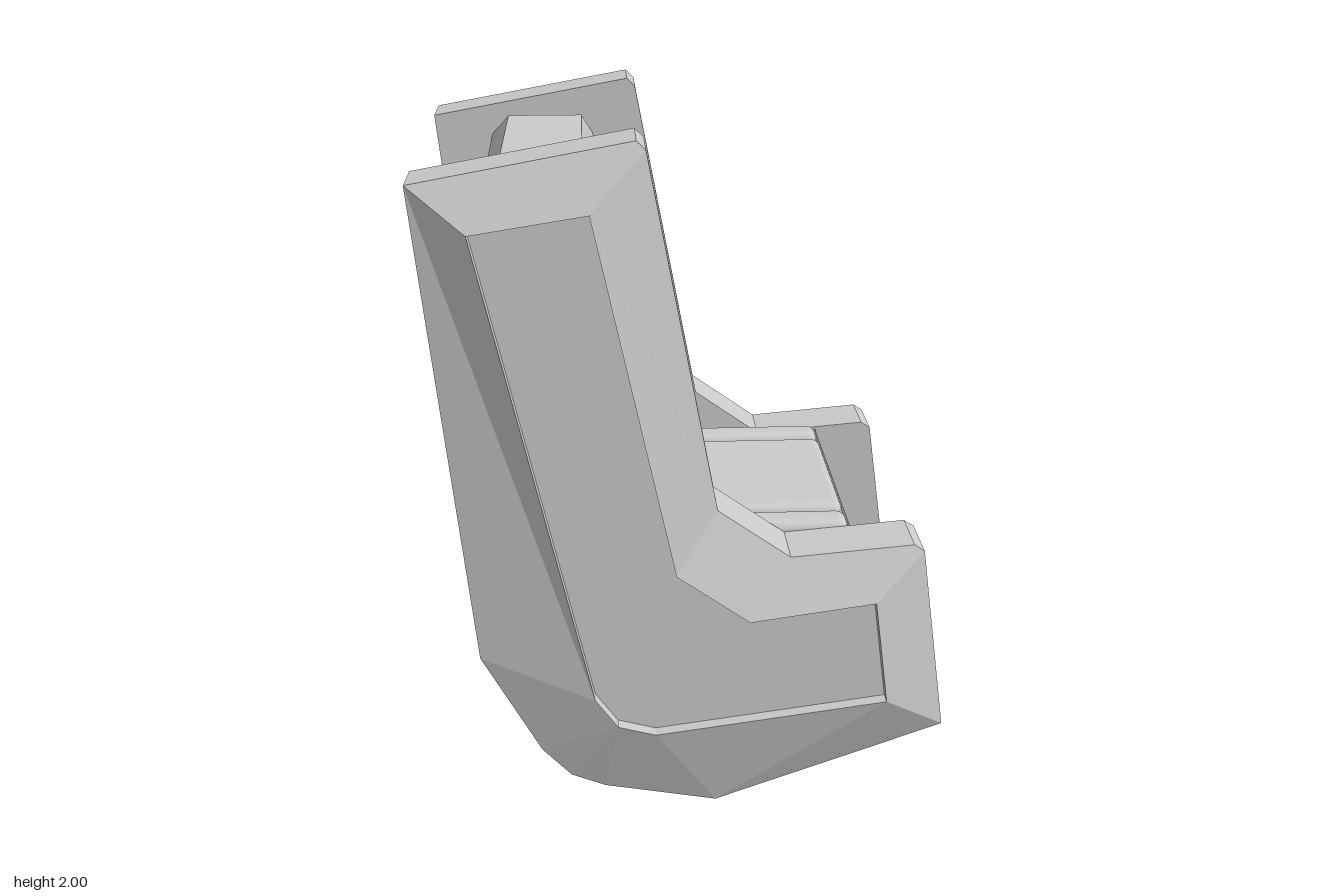
import * as THREE from 'three';
import { RoundedBoxGeometry } from 'three/addons/geometries/RoundedBoxGeometry.js';

const material = new THREE.MeshStandardMaterial({ color: 0xcccccc, side: THREE.DoubleSide });
const flat = new THREE.MeshStandardMaterial({ color: 0xcccccc, side: THREE.DoubleSide, flatShading: true });

// Side panel outline (forward, up), clockwise from the top back corner
const outline = [
  [-0.745, 1.89], [-0.14, 2.0], [-0.115, 1.975], [0.08, 0.95], [0.29, 0.8], [0.645, 0.83], [0.675, 0.81],
  [0.755, 0.24], [0.08, 0], [-0.25, 0.06], [-0.35, 0.1], [-0.435, 0.19], [-0.605, 0.5],
];
// Smaller outline of the recessed face, and which of its corners each outline corner slopes to
const inset = [
  [-0.585, 1.77], [-0.265, 1.82], [-0.04, 0.78], [0.17, 0.63], [0.53, 0.68],
  [0.573, 0.36], [-0.1, 0.27], [-0.21, 0.3], [-0.275, 0.39],
];
const insetRing = [0, 1, 1, 2, 3, 4, 4, 5, 6, 7, 7, 8, 8].map((i) => inset[i]);

// Capped solid through rings [{ z, pts }] in order of rising z, points clockwise
function loft(rings) {
  const pos = [];
  const n = rings[0].pts.length;
  const put = (r, i) => pos.push(...rings[r].pts[i % n], rings[r].z);
  for (let r = 0; r < rings.length - 1; r++) {
    for (let i = 0; i < n; i++) {
      put(r, i + 1); put(r, i); put(r + 1, i);
      put(r + 1, i); put(r + 1, i + 1); put(r, i + 1);
    }
  }
  for (const r of [0, rings.length - 1]) {
    const pts = rings[r].pts.map((p) => new THREE.Vector2(...p));
    for (const [a, b, c] of THREE.ShapeUtils.triangulateShape(pts, [])) {
      const ccw = THREE.ShapeUtils.area([pts[a], pts[b], pts[c]]) > 0;
      const order = ccw === (r > 0) ? [a, b, c] : [a, c, b];
      order.forEach((i) => put(r, i));
    }
  }
  const geometry = new THREE.BufferGeometry();
  geometry.setAttribute('position', new THREE.Float32BufferAttribute(pos, 3));
  geometry.computeVertexNormals();
  return geometry;
}

function add(parent, name, geometry, x = 0, y = 0, z = 0, mat = material) {
  const mesh = new THREE.Mesh(geometry, mat);
  mesh.name = name;
  mesh.position.set(x, y, z);
  parent.add(mesh);
  return mesh;
}

const pad = (dx, dy, dz, radius) => new RoundedBoxGeometry(dx, dy, dz, 3, radius);

// Pad columns: a wide centre and a narrow bolster on each side
const columns = [
  { name: 'Centre', z: 0, width: 0.56 },
  { name: 'LeftBolster', z: 0.352, width: 0.1 },
  { name: 'RightBolster', z: -0.352, width: 0.1 },
];

export function createModel() {
  const model = new THREE.Group();
  model.name = 'armchair';
  const chair = new THREE.Group();
  chair.name = 'chair';
  chair.rotation.y = -0.122;
  model.add(chair);

  // Thick side panels with bevelled rims and recessed outer faces
  const panel = [
    { z: 0.404, pts: outline }, { z: 0.576, pts: outline },
    { z: 0.646, pts: insetRing }, { z: 0.605, pts: insetRing },
  ];
  add(chair, 'sidePanelNear', loft(panel), 0, 0, 0, flat);
  add(chair, 'sidePanelFar', loft(panel.map((r) => ({ z: -r.z, pts: r.pts })).reverse()), 0, 0, 0, flat);

  // Shell between the panels, its top sloping down at both ends
  const shell = (top) => [
    [-0.58, 1.77], ...top, [-0.235, 1.765], [0.0, 0.76], [0.46, 0.76], [0.487, 0.81],
    ...inset.slice(4),
  ];
  const ridge = shell([[-0.51, 1.9], [-0.284, 1.9]]);
  const end = shell([[-0.565, 1.83], [-0.25, 1.83]]);
  add(chair, 'shell', loft([
    { z: -0.406, pts: end }, { z: -0.335, pts: ridge }, { z: 0.335, pts: ridge }, { z: 0.406, pts: end },
  ]), 0, 0, 0, flat);

  // Backrest: a backing cushion with four rows of raised pads
  const back = new THREE.Group();
  back.name = 'backrest';
  back.position.set(-0.11, 1.76, 0);
  back.rotation.z = 0.22;
  chair.add(back);
  add(back, 'backCushion', pad(0.12, 0.98, 0.8, 0.015), -0.09, -0.49, 0);
  const rows = [0, -0.275, -0.52, -0.75, -0.98];
  for (let i = 0; i < 4; i++) {
    const height = rows[i] - rows[i + 1] - 0.02;
    for (const c of columns) {
      add(back, `back${c.name}Pad`, pad(0.09, height, c.width, 0.025), -0.045, (rows[i] + rows[i + 1]) / 2, c.z);
    }
  }

  // Seat: a base cushion with a raised centre and bolsters
  add(chair, 'seatCushion', pad(0.45, 0.1, 0.8, 0.015), 0.26, 0.755, 0);
  for (const c of columns) {
    add(chair, `seat${c.name}Pad`, pad(0.44, 0.09, c.width, 0.03), 0.263, 0.785, c.z);
  }
  return model;
}
